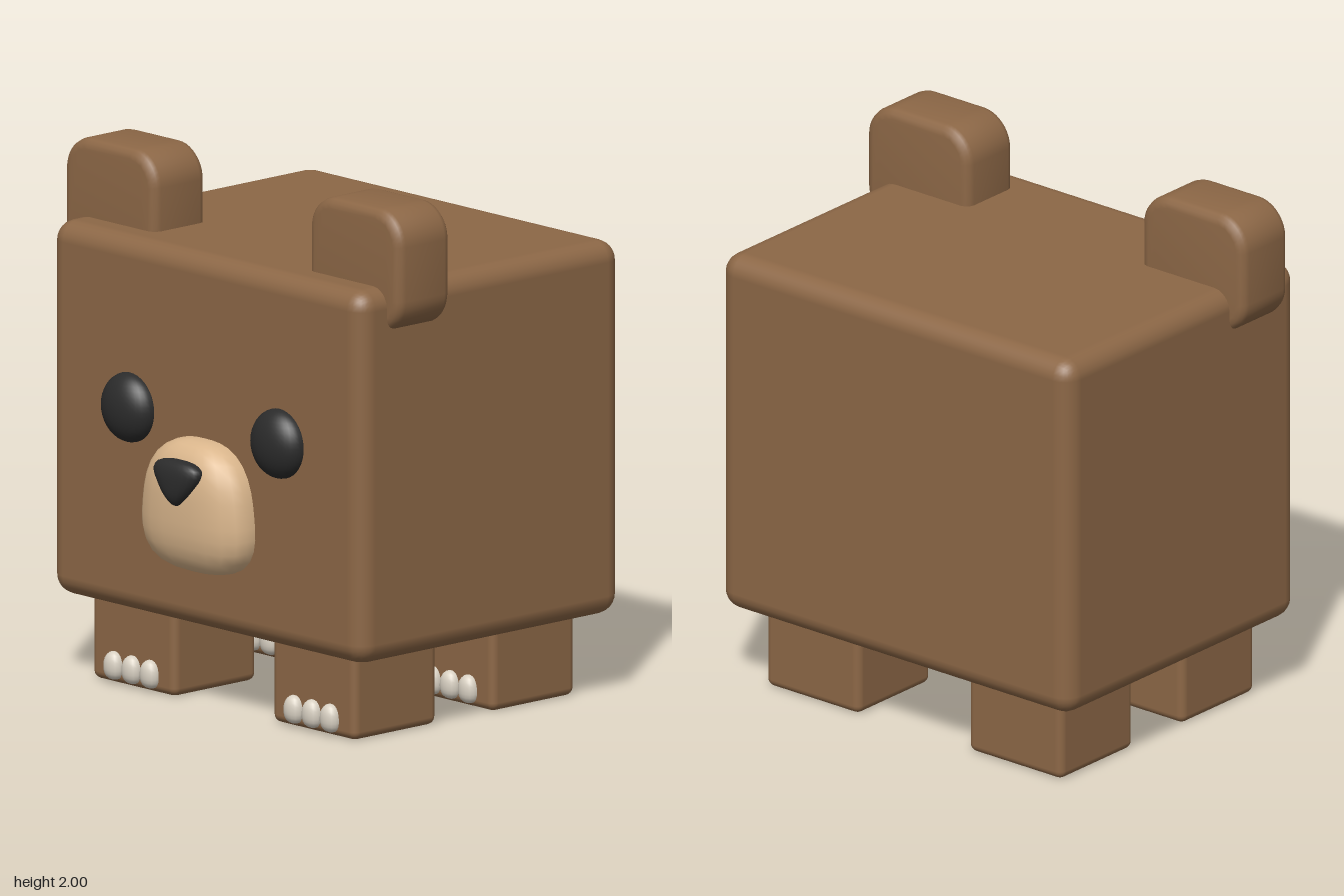
import * as THREE from 'three';
import { RoundedBoxGeometry } from 'three/addons/geometries/RoundedBoxGeometry.js';
import { mergeVertices, toCreasedNormals } from 'three/addons/utils/BufferGeometryUtils.js';

function material(name, color) {
  const m = new THREE.MeshStandardMaterial({ color });
  m.name = name;
  return m;
}

// Sphere squared off by exponent p; taper(y) scales the width by height.
function softBlob(rx, ry, rz, p, taper = () => 1, segments = 24) {
  const g = new THREE.SphereGeometry(1, segments, segments * 0.75);
  g.deleteAttribute('uv');
  g.deleteAttribute('normal');
  const pos = g.attributes.position;
  const v = new THREE.Vector3();
  for (let i = 0; i < pos.count; i++) {
    v.fromBufferAttribute(pos, i);
    const n = Math.pow(Math.abs(v.x) ** p + Math.abs(v.y) ** p + Math.abs(v.z) ** p, 1 / p);
    v.divideScalar(n);
    pos.setXYZ(i, v.x * rx * taper(v.y), v.y * ry, v.z * rz);
  }
  const merged = mergeVertices(g, 1e-5);
  merged.computeVertexNormals();
  return merged;
}

// Slab with a rounded outline and softened front and back rims.
function earGeometry(w, h, d, r, bevel) {
  const x = w / 2 - bevel, y = h / 2 - bevel, c = r - bevel;
  const s = new THREE.Shape();
  s.absarc(x - c, y - c, c, 0, Math.PI / 2);
  s.absarc(-x + c, y - c, c, Math.PI / 2, Math.PI);
  s.absarc(-x + c, -y + c, c, Math.PI, Math.PI * 1.5);
  s.absarc(x - c, -y + c, c, Math.PI * 1.5, Math.PI * 2);
  s.closePath();
  const g = new THREE.ExtrudeGeometry(s, {
    depth: d - 2 * bevel, bevelEnabled: true, bevelThickness: bevel,
    bevelSize: bevel, bevelSegments: 3, curveSegments: 5,
  });
  g.translate(0, 0, bevel - d / 2);
  return toCreasedNormals(g, 0.8);
}

export function createModel() {
  const model = new THREE.Group();
  model.name = 'bear';
  const fur = material('brown fur', 0x8c6746);
  const tan = material('tan muzzle', 0xdab68c);
  const black = material('black', 0x2b2b2b);
  const ivory = material('ivory claw', 0xd9d1c3);

  const add = (name, geometry, mat, x, y, z, parent = model) => {
    const mesh = new THREE.Mesh(geometry, mat);
    mesh.name = name;
    mesh.position.set(x, y, z);
    parent.add(mesh);
    return mesh;
  };

  // Block body
  add('body', new RoundedBoxGeometry(1.67, 1.4, 1.31, 3, 0.075), fur, 0, 1.01, -0.09);

  // Muzzle and nose
  add('muzzle', softBlob(0.265, 0.248, 0.145, 2.8, y => 1 - 0.12 * y), tan, 0, 0.783, 0.565);
  add('nose', softBlob(0.138, 0.086, 0.05, 2.5, y => 0.7 + 0.45 * y), black, 0, 0.885, 0.695);

  const ear = earGeometry(0.49, 0.46, 0.262, 0.13, 0.035);
  const eye = new THREE.SphereGeometry(0.13, 32, 20).scale(1, 1, 0.62);
  const leg = new RoundedBoxGeometry(0.445, 0.45, 0.415, 3, 0.03);
  const claw = softBlob(0.042, 0.053, 0.037, 2.4, y => 1 - 0.08 * y, 16);

  for (const [side, s] of [['left', 1], ['right', -1]]) {
    add(side + 'Ear', ear, fur, s * 0.655, 1.77, 0.303);
    add(side + 'Eye', eye, black, s * 0.4, 1.08, 0.565);

    // Legs, each with three claws on its front face
    for (const [end, z] of [['Front', 0.267], ['Back', -0.422]]) {
      const group = new THREE.Group();
      group.name = side + end + 'Leg';
      group.position.set(s * 0.482, 0, z);
      model.add(group);
      add('leg', leg, fur, 0, 0.225, 0, group);
      for (const i of [-1, 0, 1]) {
        add('claw', claw, ivory, i * 0.097, 0.068, 0.207, group);
      }
    }
  }
  return model;
}
